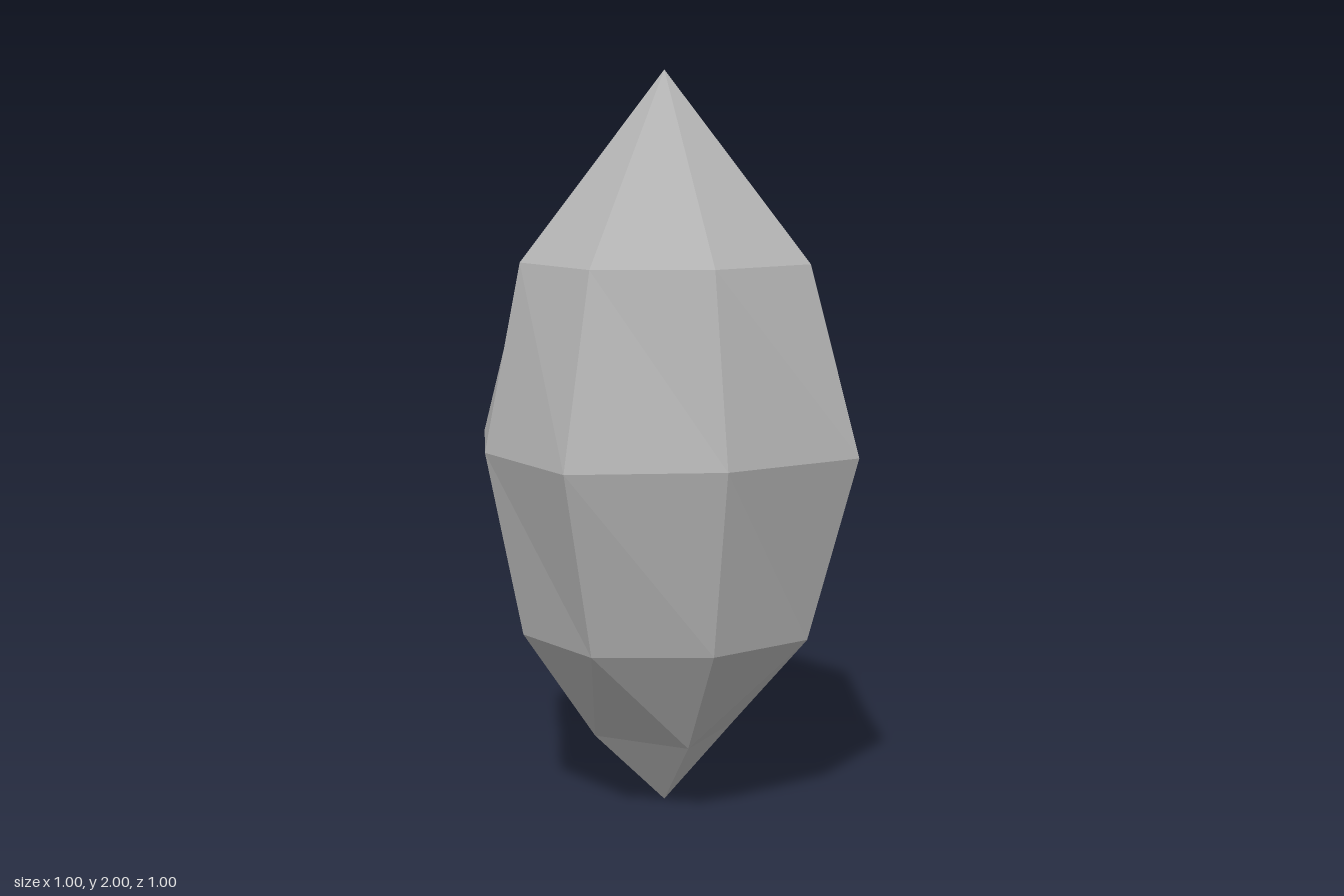
import * as THREE from 'three';

// Eight-point ring: even points lie on the axes, odd points are square corners.
function ring(y, mid, corner) {
  return Array.from({ length: 8 }, (_, i) => {
    const a = (i * Math.PI) / 4;
    const r = i % 2 ? corner * Math.SQRT2 : mid;
    return new THREE.Vector3(Math.sin(a) * r, y, Math.cos(a) * r);
  });
}

function facetedMesh(name, points, material) {
  const geometry = new THREE.BufferGeometry().setFromPoints(points);
  geometry.computeVertexNormals(); // unshared corners give flat facets
  const mesh = new THREE.Mesh(geometry, material);
  mesh.name = name;
  return mesh;
}

export function createModel() {
  const group = new THREE.Group();
  group.name = 'crystal';
  const stone = new THREE.MeshStandardMaterial({ color: 0xb4b4b4 });
  stone.name = 'grey stone';

  const apex = new THREE.Vector3(0, 2, 0);
  const foot = new THREE.Vector3(0, 0, 0);
  const upper = ring(1.5, 0.4, 0.3);
  const girdle = ring(1, 0.5, 0.4);
  const lower = ring(0.5, 0.4, 0.3);
  const tip = ring(0.2, 0.2, 0.1); // only the axis points are used

  const crown = [], body = [], point = [];
  for (let i = 0; i < 8; i++) {
    const j = (i + 1) % 8;

    // Crown facets meet at the apex
    crown.push(apex, upper[i], upper[j]);

    // Two bands around the girdle
    for (const [a, b] of [[upper, girdle], [girdle, lower]]) {
      body.push(a[i], b[i], b[j], a[i], b[j], a[j]);
    }

    // Each lower edge narrows to its nearest tip point
    point.push(lower[i], tip[i % 2 ? j : i], lower[j]);

    // Corner facets and the four-sided tip
    if (i % 2 === 0) {
      const k = (i + 2) % 8;
      point.push(lower[j], tip[i], tip[k]);
      point.push(tip[i], foot, tip[k]);
    }
  }

  group.add(
    facetedMesh('crown', crown, stone),
    facetedMesh('body', body, stone),
    facetedMesh('point', point, stone)
  );
  return group;
}
